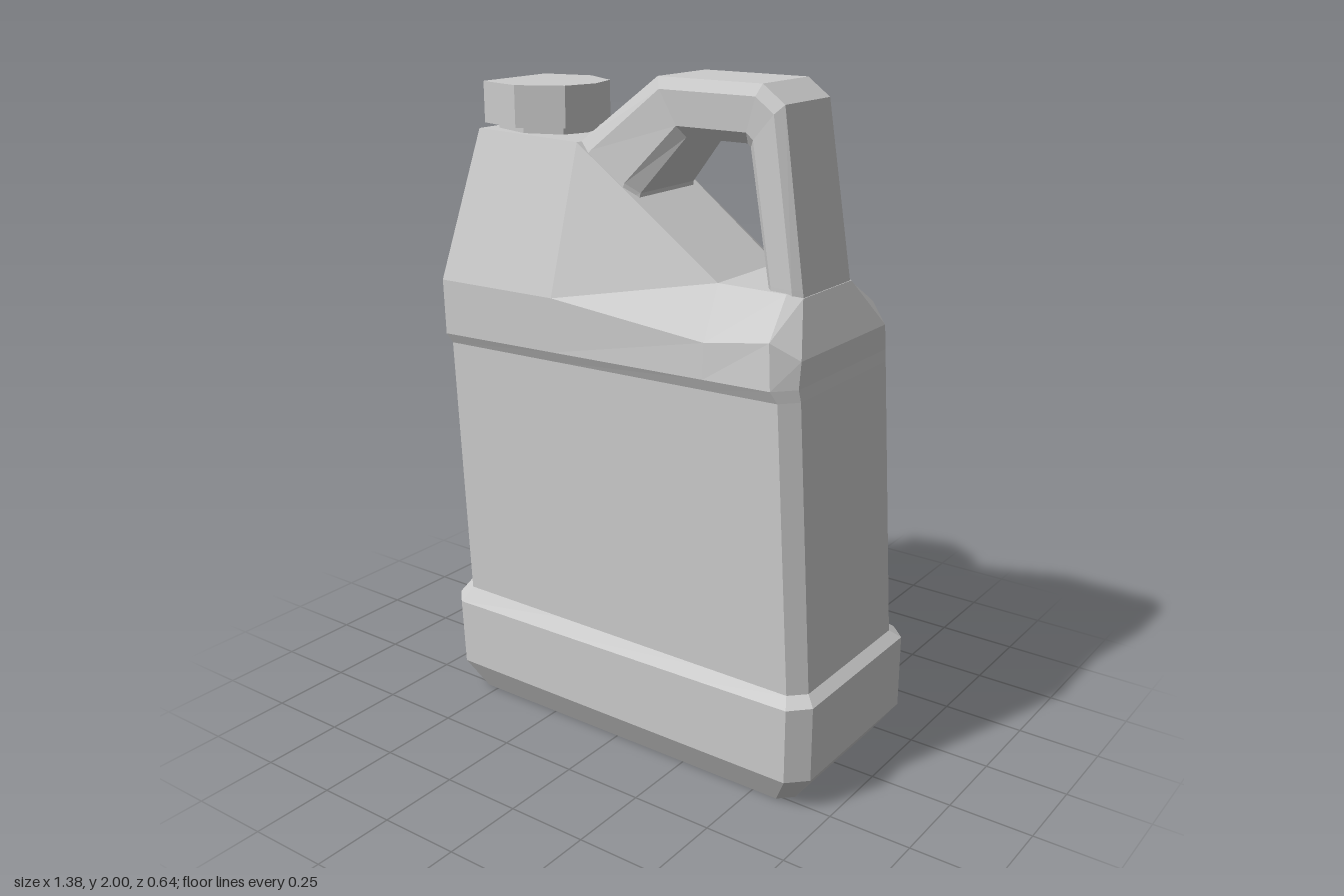
import * as THREE from 'three';

const material = new THREE.MeshStandardMaterial({ color: 0xcccccc, flatShading: true });

// Loft closed rings. Each ring is its +z half as [x, y, z] stations; the -z half is mirrored.
function loft(name, halves) {
  const n = halves[0].length;
  const rings = halves.map((half) => [...half, ...half.slice().reverse().map(([x, y, z]) => [x, y, -z])]);
  const pos = [];
  const quad = (a, b, c, d) => pos.push(...a, ...b, ...c, ...a, ...c, ...d);
  for (let r = 0; r < rings.length - 1; r++) {
    for (let i = 0; i < 2 * n; i++) {
      const j = (i + 1) % (2 * n);
      quad(rings[r][i], rings[r][j], rings[r + 1][j], rings[r + 1][i]);
    }
  }
  // End caps as strips between the mirrored halves
  const bottom = rings[0], top = rings[rings.length - 1], last = 2 * n - 1;
  for (let i = 0; i < n - 1; i++) {
    quad(top[i], top[i + 1], top[last - i - 1], top[last - i]);
    quad(bottom[last - i], bottom[last - i - 1], bottom[i + 1], bottom[i]);
  }
  const geometry = new THREE.BufferGeometry();
  geometry.setAttribute('position', new THREE.Float32BufferAttribute(pos, 3));
  geometry.computeVertexNormals();
  const mesh = new THREE.Mesh(geometry, material);
  mesh.name = name;
  return mesh;
}

// Level body ring with chamfered corners; `rise` lifts its right end
function bodyRing(y, left, right, z, c, rise = 0) {
  return [[left, z - c], [left + c, z], [-0.2, z], [0.33, z], [right - c, z], [right, z - c]]
    .map(([x, depth]) => [x, y + rise * (x - left) / (right - left), depth]);
}

// Handle section from its outer point to its inner point, with a chamfered outer edge
function handleRing([ox, oy], [ix, iy], w) {
  const at = (t, z) => [ox + (ix - ox) * t, oy + (iy - oy) * t, z];
  return [at(0, w - 0.02), at(0.2, w), at(0.8, w - 0.005), at(1, w - 0.03)];
}

// Flat polygon in x, z extruded upwards from y
function prism(name, points, y, height) {
  const shape = new THREE.Shape(points.map(([x, z]) => new THREE.Vector2(x, -z)));
  const geometry = new THREE.ExtrudeGeometry(shape, { depth: height, bevelEnabled: false });
  geometry.rotateX(-Math.PI / 2);
  const mesh = new THREE.Mesh(geometry, material);
  mesh.name = name;
  mesh.position.y = y;
  return mesh;
}

export function createModel() {
  const model = new THREE.Group();
  model.name = 'jerrycan';

  // Body: flared foot, tapered wall, raised band, sloping shoulder
  model.add(loft('body', [
    bodyRing(0, -0.58, 0.62, 0.265, 0.04),
    bodyRing(0.1, -0.64, 0.69, 0.318, 0.055),
    bodyRing(0.31, -0.65, 0.69, 0.318, 0.055, 0.02),
    bodyRing(0.355, -0.62, 0.66, 0.283, 0.045),
    bodyRing(1.17, -0.66, 0.605, 0.28, 0.045, 0.03),
    bodyRing(1.2, -0.68, 0.6, 0.295, 0.055, 0.035),
    [[-0.69, 1.36, 0.23], [-0.63, 1.37, 0.295], [-0.2, 1.375, 0.295],
      [0.33, 1.33, 0.29], [0.53, 1.36, 0.28], [0.6, 1.31, 0.23]],
    [[-0.6, 1.8, 0.13], [-0.58, 1.815, 0.16], [-0.2, 1.805, 0.165],
      [0.28, 1.46, 0.15], [0.5, 1.46, 0.15], [0.54, 1.45, 0.13]],
  ]));

  // Handle: arch from the shoulder crest to the low right end
  model.add(loft('handle', [
    handleRing([-0.23, 1.78], [-0.01, 1.62], 0.165),
    handleRing([-0.19, 1.815], [0, 1.675], 0.16),
    handleRing([0.05, 2], [0.14, 1.84], 0.135),
    handleRing([0.39, 2], [0.34, 1.84], 0.135),
    handleRing([0.46, 1.95], [0.35, 1.83], 0.135),
    handleRing([0.535, 1.47], [0.42, 1.47], 0.145),
    handleRing([0.55, 1.38], [0.43, 1.38], 0.145),
  ]));

  // Seven-sided cap on a short, narrower neck
  const capOutline = [[-0.26, 0], [-0.29, 0.105], [-0.42, 0.178], [-0.575, 0.14],
    [-0.575, -0.14], [-0.42, -0.178], [-0.29, -0.105]];
  const neckOutline = capOutline.map(([x, z]) => [-0.42 + (x + 0.42) * 0.8, z * 0.8]);
  model.add(prism('neck', neckOutline, 1.78, 0.06));
  model.add(prism('cap', capOutline, 1.83, 0.122));

  return model;
}
